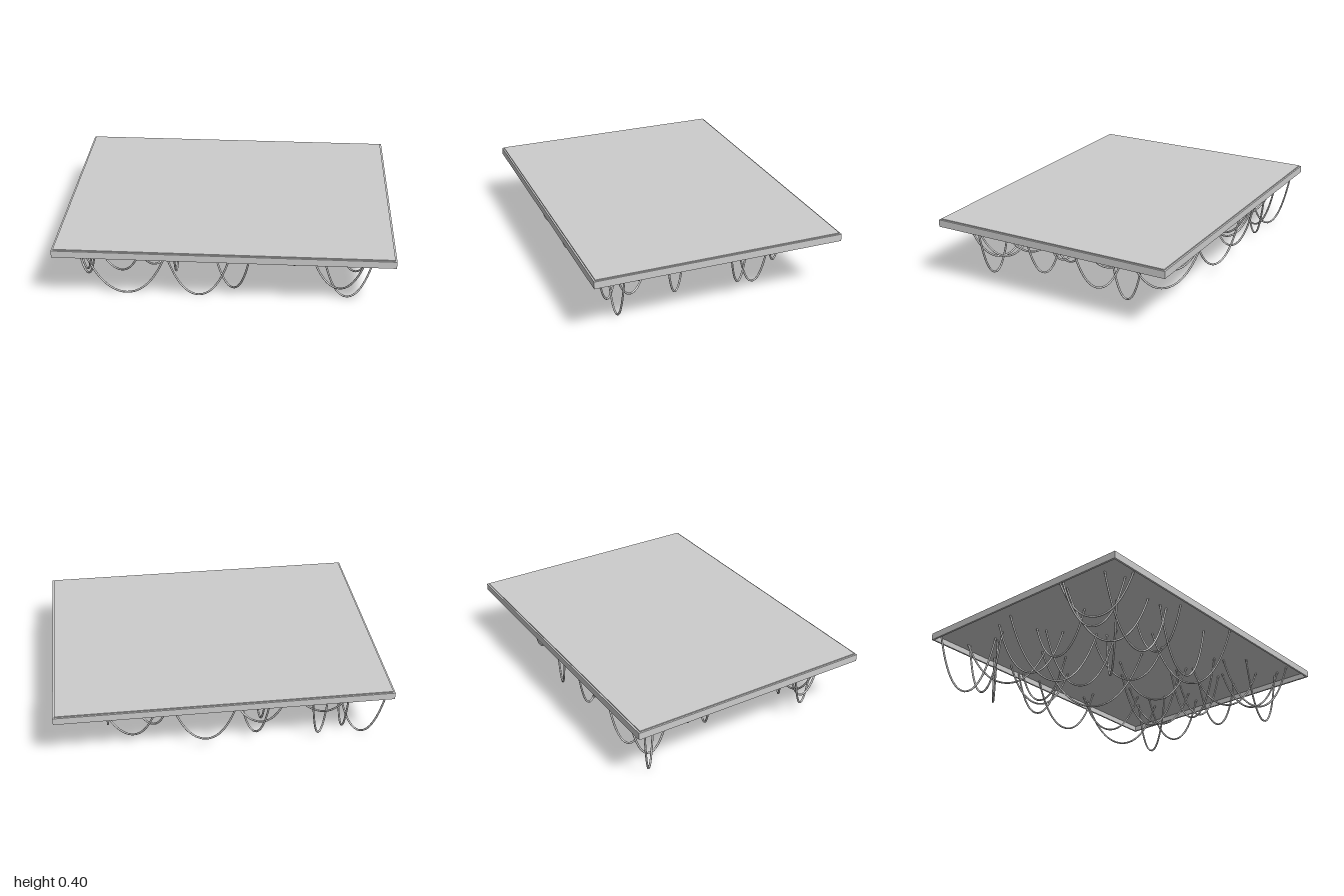
import * as THREE from 'three';

const material = new THREE.MeshStandardMaterial({ color: 0xcccccc });
const CEILING = 0.392;

// One cable sagging between two points on the underside of the panel
function hangingCable(x, z, low, dx, dz) {
  const points = [];
  for (let i = 0; i <= 16; i++) {
    const t = -Math.cos((i / 16) * Math.PI);
    const sag = 0.75 * t ** 2 + 0.25 * t ** 4;
    points.push(new THREE.Vector3(x + dx * t, low + (CEILING - low) * sag, z + dz * t));
  }
  const curve = new THREE.CatmullRomCurve3(points);
  const mesh = new THREE.Mesh(new THREE.TubeGeometry(curve, 40, 0.006, 8), material);
  mesh.name = 'hangingCable';
  return mesh;
}

function box(name, w, h, d, x, y, z) {
  const mesh = new THREE.Mesh(new THREE.BoxGeometry(w, h, d), material);
  mesh.name = name;
  mesh.position.set(x, y, z);
  return mesh;
}

// Centre x, centre z, lowest y, half span in x, half span in z
const deepCables = [
  [-0.84, -0.6, 0.008, 0.13, 0.11],
  [-0.745, -0.54, 0.02, 0, 0.15],
  [-0.6, -0.6, 0.02, 0.08, -0.1],
  [-0.6, 0.58, 0.008, 0.28, 0],
  [-0.16, 0.58, 0.008, 0.22, 0],
  [0.74, 0.55, 0.008, 0.17, 0],
  [0.02, 0.51, 0.037, 0.14, 0.2],
  [-0.44, 0.25, 0.015, 0.15, -0.17],
  [0.69, -0.35, 0.008, 0, 0.12],
  [0.42, 0.22, 0.02, 0, 0.18],
  [0.34, -0.08, 0.02, 0.12, 0.15],
  [-0.6, -0.08, 0.012, 0.26, 0.12],
  [-0.16, -0.16, 0.01, 0.22, 0.24],
  [-0.44, 0.0, 0.01, 0.14, 0.17],
];

const middleCables = [
  [-0.86, 0.48, 0.085, 0.1, 0.15],
  [-0.68, 0.43, 0.08, 0.2, 0.14],
  [0.13, -0.66, 0.085, 0.2, 0.07],
  [0.59, -0.55, 0.085, 0.19, 0.16],
  [0.53, 0.18, 0.085, 0.13, 0.08],
  [0.66, 0.56, 0.08, 0.18, 0.13],
  [0.77, -0.22, 0.085, 0.12, 0.12],
  [0.75, 0.18, 0.085, 0.08, 0.09],
  [-0.18, -0.62, 0.085, 0.08, 0.12],
  [-0.66, -0.22, 0.085, 0.16, 0.12],
];

const shallowCables = [
  [-0.86, 0.5, 0.14, 0.09, 0.2],
  [-0.63, 0.0, 0.14, 0, 0.2],
  [-0.57, -0.53, 0.14, 0.19, 0.16],
  [-0.295, 0.5, 0.14, 0, 0.17],
  [-0.23, -0.53, 0.14, 0, 0.2],
  [-0.2, -0.6, 0.14, 0.17, 0.1],
  [-0.1, 0.1, 0.14, 0.17, 0.14],
  [0.24, 0.03, 0.14, 0.18, 0.14],
  [0.45, -0.53, 0.14, 0.12, 0.15],
  [0.59, -0.2, 0.14, 0.17, 0.13],
  [0.62, 0.34, 0.14, 0.17, 0.14],
  [0.76, 0.45, 0.14, 0.11, 0.15],
];

export function createModel() {
  const model = new THREE.Group();

  // Flat top slab with a thin rim running around its edge
  const panel = new THREE.Group();
  panel.name = 'ceilingPanel';
  panel.add(box('slab', 1.98, 0.015, 1.5, 0, 0.3975, 0));
  for (const side of [-1, 1]) {
    panel.add(box('longRim', 2, 0.044, 0.012, 0, 0.377, side * 0.754));
    panel.add(box('shortRim', 0.012, 0.044, 1.496, side * 0.994, 0.377, 0));
  }
  model.add(panel);

  // Cables drooping below the panel
  const cables = new THREE.Group();
  cables.name = 'hangingCables';
  for (const cable of [...deepCables, ...middleCables, ...shallowCables]) {
    cables.add(hangingCable(...cable));
  }
  model.add(cables);

  return model;
}
